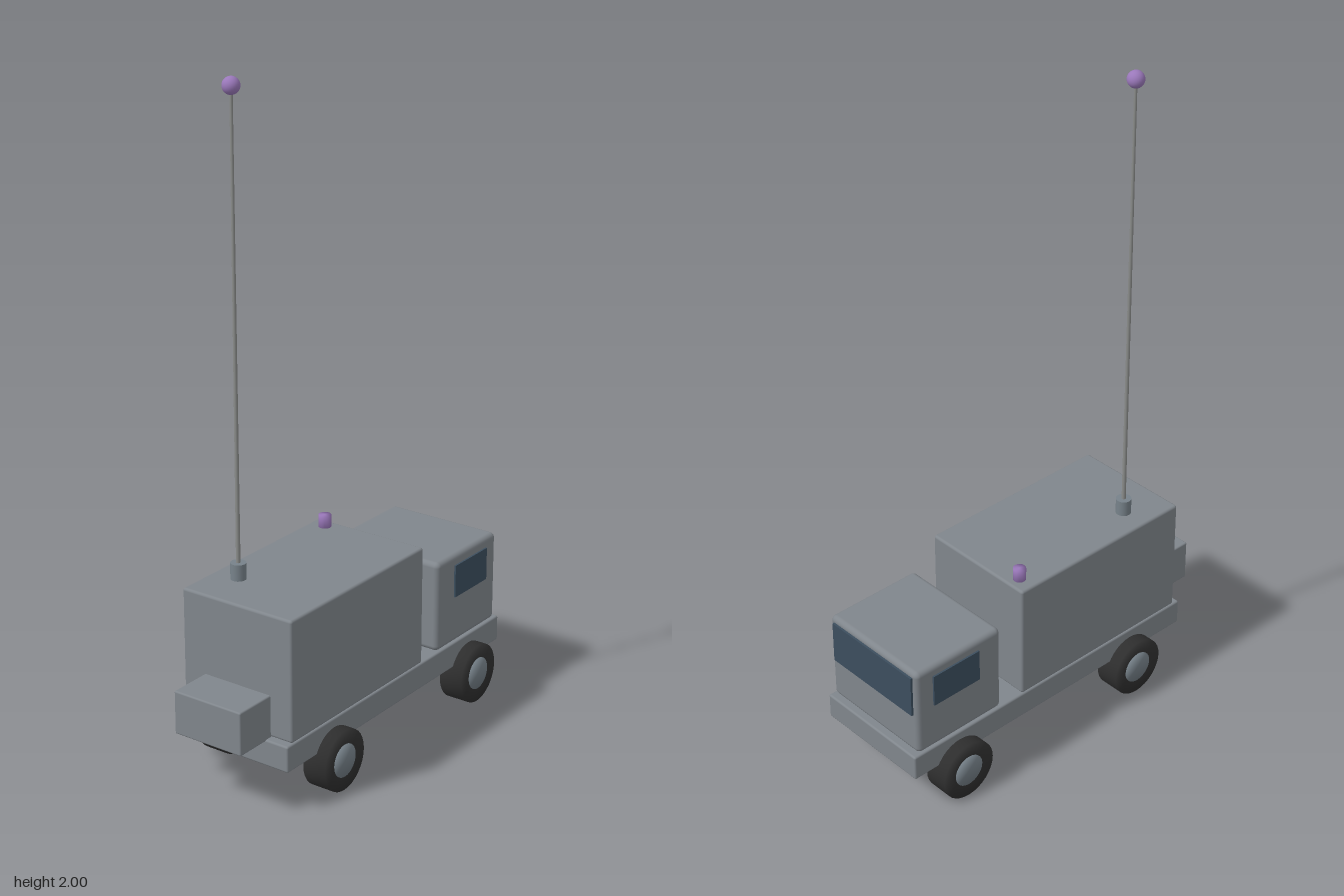
import * as THREE from 'three';
import { RoundedBoxGeometry } from 'three/addons/geometries/RoundedBoxGeometry.js';

const material = (name, color) => {
  const m = new THREE.MeshStandardMaterial({ color });
  m.name = name;
  return m;
};

export function createModel() {
  const truck = new THREE.Group();
  truck.name = 'radioTruck';
  const paint = material('greyPaint', 0x80868c);
  const rubber = material('blackRubber', 0x303030);
  const steel = material('hubSteel', 0x77828a);
  const rod = material('mastMetal', 0x8a8c8a);
  const glass = material('darkGlass', 0x3c4e5e);
  const purple = material('purpleLamp', 0x9a78ba);

  const add = (name, geometry, mat, x, y, z, parent = truck) => {
    const mesh = new THREE.Mesh(geometry, mat);
    mesh.name = name;
    mesh.position.set(x, y, z);
    parent.add(mesh);
    return mesh;
  };
  // Rounded box given by its extents
  const block = (name, x0, x1, y0, y1, halfZ, r) =>
    add(name, new RoundedBoxGeometry(x1 - x0, y1 - y0, 2 * halfZ, 3, r), paint,
      (x0 + x1) / 2, (y0 + y1) / 2, 0);
  // Softly shaded closed drum, starting at an inner radius
  const drum = (inner, r, h) => new THREE.LatheGeometry(
    [[inner, -h / 2], [r, -h / 2], [r, h / 2], [inner, h / 2]].map(([x, y]) => new THREE.Vector2(x, y)), 32);

  // Bodywork
  block('chassis', -0.48, 0.588, 0.132, 0.212, 0.192, 0.006);
  block('cargoBody', -0.457, 0.175, 0.212, 0.58, 0.19, 0.008);
  block('cab', 0.256, 0.57, 0.212, 0.496, 0.188, 0.016);
  block('generatorBox', -0.59, -0.45, 0.207, 0.338, 0.116, 0.005);

  // Windows
  add('windscreen', new THREE.BoxGeometry(0.009, 0.132, 0.34), glass, 0.5725, 0.413, 0);
  for (const s of [1, -1])
    add('sideWindow', new THREE.BoxGeometry(0.17, 0.102, 0.009), glass, 0.427, 0.413, s * 0.189);

  // Wheels
  for (const x of [-0.266, 0.42]) for (const s of [1, -1]) {
    const wheel = new THREE.Group();
    wheel.name = 'wheel';
    wheel.position.set(x, 0.0925, s * 0.191);
    wheel.rotation.x = Math.PI / 2;
    truck.add(wheel);
    add('tyre', drum(0.048, 0.0925, 0.076), rubber, 0, 0, 0, wheel);
    add('hub', drum(0, 0.05, 0.08), steel, 0, 0, 0, wheel);
  }

  // Antenna
  add('antennaBase', new THREE.CylinderGeometry(0.023, 0.023, 0.05, 24), steel, -0.315, 0.604, -0.104);
  add('antennaMast', new THREE.CylinderGeometry(0.0045, 0.0065, 1.36, 12), rod, -0.315, 1.3, -0.104);
  add('antennaTip', new THREE.SphereGeometry(0.025, 24, 16), purple, -0.315, 1.975, -0.104);

  // Roof beacon
  add('beacon', drum(0, 0.019, 0.04), purple, 0.135, 0.598, -0.136);

  return truck;
}
